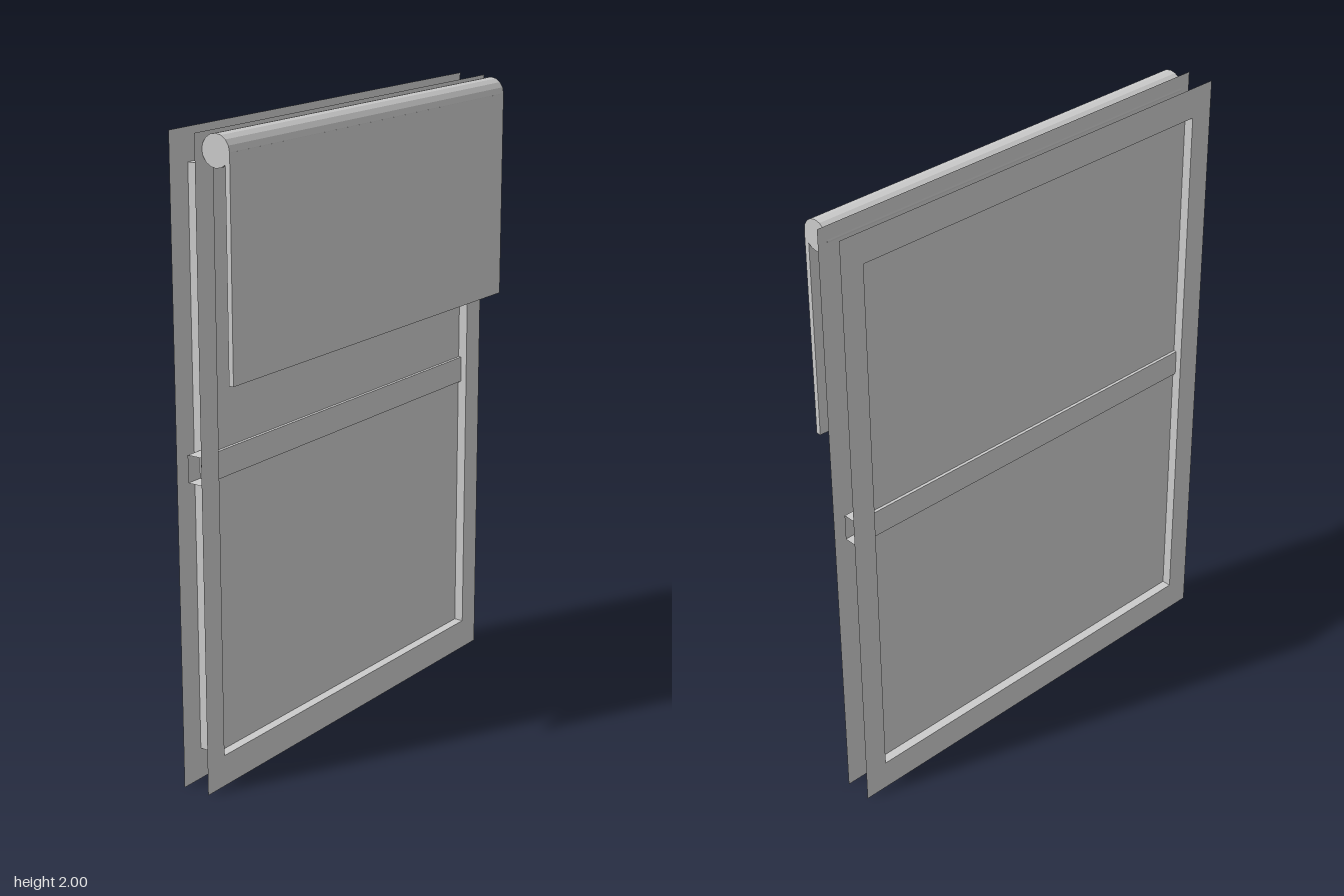
import * as THREE from 'three';

const material = new THREE.MeshStandardMaterial({ color: 0xcccccc, side: THREE.DoubleSide });
const flatMaterial = new THREE.MeshStandardMaterial({ color: 0xcccccc, flatShading: true });

const WIDTH = 1.49, HEIGHT = 2;            // outer frame
const OPEN_W = 1.33, OPEN_H = 1.8;         // window opening
const FRONT = -0.003, BACK = -0.095;       // planes of the two frame faces
const MID = (FRONT + BACK) / 2;

function add(group, name, geometry, x, y, z, mat = material) {
  const mesh = new THREE.Mesh(geometry, mat);
  mesh.name = name;
  mesh.position.set(x, y, z);
  group.add(mesh);
  return mesh;
}

// Four-sided sleeve: a box without the two faces across the given axis
function sleeve(w, h, d, axis) {
  const box = new THREE.BoxGeometry(w, h, d);
  const index = Array.from(box.index.array);
  index.splice('xyz'.indexOf(axis) * 12, 12);
  box.setIndex(index);
  box.clearGroups();
  return box;
}

// Flat rectangular border around the opening
function border() {
  const rect = (target, w, h) => target
    .moveTo(-w / 2, -h / 2).lineTo(w / 2, -h / 2)
    .lineTo(w / 2, h / 2).lineTo(-w / 2, h / 2).closePath();
  const shape = rect(new THREE.Shape(), WIDTH, HEIGHT);
  shape.holes.push(rect(new THREE.Path(), OPEN_W, OPEN_H));
  return new THREE.ShapeGeometry(shape);
}

export function createModel() {
  const group = new THREE.Group();
  group.name = 'windowWithBlind';

  // Window frame: thin front and back faces joined by the lining of the opening
  add(group, 'frameFront', border(), 0, 1, FRONT);
  add(group, 'frameBack', border(), 0, 1, BACK).rotation.y = Math.PI;
  add(group, 'openingLining', sleeve(OPEN_W, OPEN_H, FRONT - BACK, 'z'), 0, 1, MID);

  // Glazing and the open-ended rail that crosses it
  add(group, 'pane', new THREE.BoxGeometry(OPEN_W, OPEN_H, 0.03), 0, 1, MID);
  add(group, 'middleRail', sleeve(1.44, 0.085, 0.05, 'x'), 0, 1.012, MID);

  // Roller blind
  const roller = new THREE.CylinderGeometry(0.049, 0.049, 1.425, 16);
  add(group, 'blindRoller', roller, 0, 1.951, 0.045, flatMaterial).rotation.z = Math.PI / 2;
  add(group, 'blindSheet', new THREE.BoxGeometry(1.425, 0.665, 0.016), 0, 1.6175, 0.086);

  return group;
}
